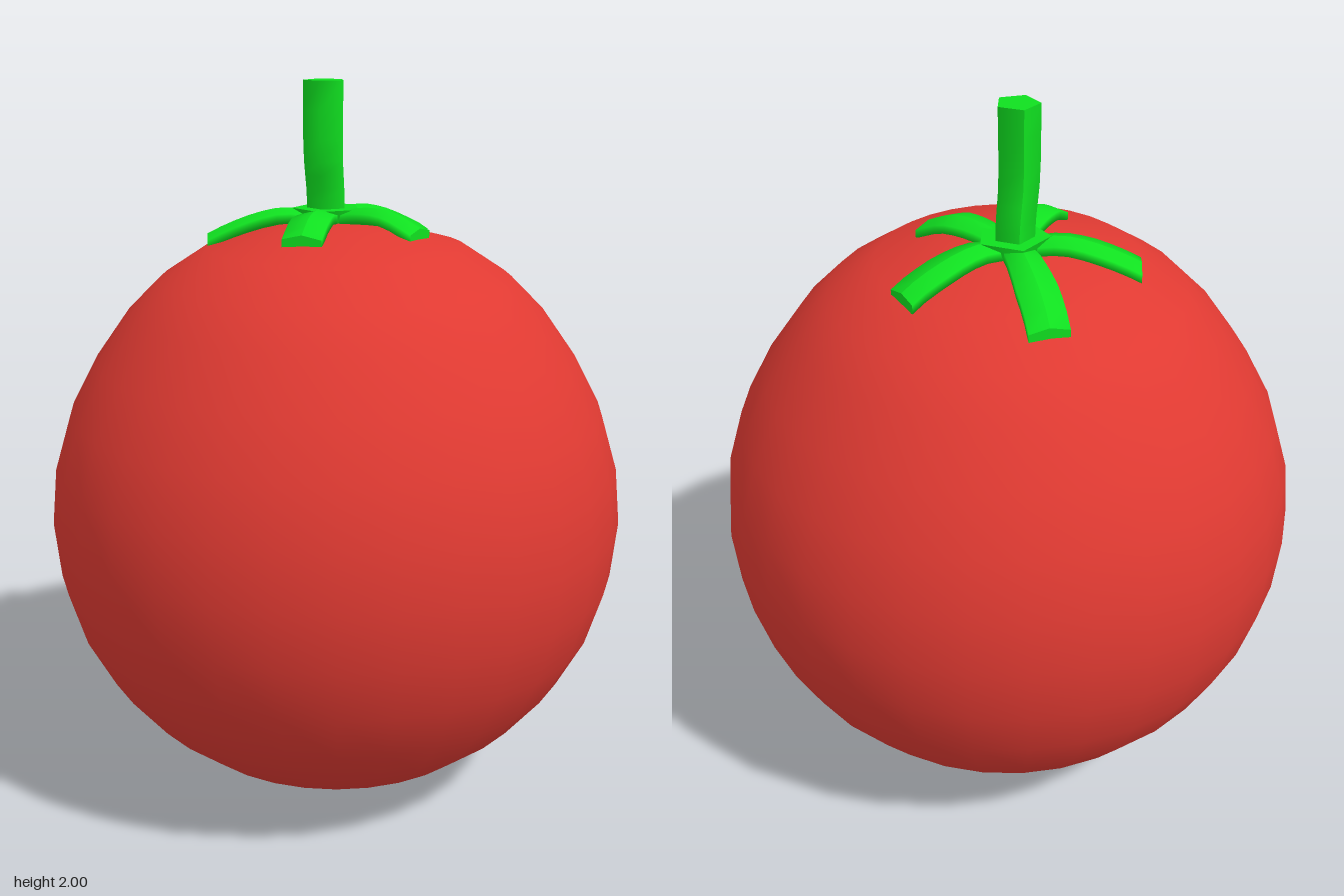
import * as THREE from 'three';

const red = new THREE.MeshStandardMaterial({ color: 0xe03a32 });
const green = new THREE.MeshStandardMaterial({ color: 0x10e020 });
const HUB = { x: 0.005, z: -0.07 };

// Upper half of the fruit's profile, from shoulder to crown (radius, height)
const CROWN = [[0.575, 1.385], [0.485, 1.475], [0.355, 1.56], [0.157, 1.612], [0, 1.62]];

// Height of the fruit's skin at a distance from its axis, near the crown
function skinHeight(r) {
  for (let i = CROWN.length - 1; i > 0; i--) {
    const [r0, y0] = CROWN[i], [r1, y1] = CROWN[i - 1];
    if (r <= r1) return THREE.MathUtils.mapLinear(r, r0, r1, y0, y1);
  }
  return CROWN[0][1];
}

// Moves every vertex of a geometry by a rule
function reshape(geometry, rule) {
  const pos = geometry.attributes.position;
  const v = new THREE.Vector3();
  for (let i = 0; i < pos.count; i++) {
    rule(v.fromBufferAttribute(pos, i));
    pos.setXYZ(i, v.x, v.y, v.z);
  }
  geometry.computeVertexNormals();
  return geometry;
}

function add(group, name, geometry, material) {
  const mesh = new THREE.Mesh(geometry, material);
  mesh.name = name;
  group.add(mesh);
  return mesh;
}

// A flattened six-sided strip that runs out from the hub over the skin
function sepalGeometry(angle, length) {
  const dx = Math.cos(angle), dz = Math.sin(angle);
  return reshape(new THREE.CylinderGeometry(1, 1, 1, 6, 8), (v) => {
    const t = v.y + 0.5;
    const along = 0.03 + t * (length - 0.03);
    const side = v.x * THREE.MathUtils.lerp(0.045, 0.062, Math.min(1, t * 1.6));
    const cx = HUB.x + dx * along, cz = HUB.z + dz * along;
    const lift = 0.005 + 0.02 * Math.sin(Math.PI * t);
    const y = skinHeight(Math.hypot(cx, cz)) + lift + v.z * 0.024;
    v.set(cx - dz * side, y, cz + dx * side);
  });
}

export function createModel() {
  const model = new THREE.Group();
  model.name = 'tomato';

  // Fruit: a ball with slightly raised shoulders
  const profile = [];
  for (let i = 0; i <= 11; i++) {
    const a = (i * Math.PI) / 16;
    profile.push(new THREE.Vector2(0.805 * Math.sin(a), 0.805 - 0.805 * Math.cos(a)));
  }
  for (const [r, y] of CROWN) profile.push(new THREE.Vector2(r, y));
  add(model, 'fruit', new THREE.LatheGeometry(profile, 32), red);

  // Calyx: a pentagonal hub with five sepals
  const calyx = new THREE.Group();
  calyx.name = 'calyx';
  model.add(calyx);
  const hub = add(calyx, 'calyxHub',
    new THREE.CylinderGeometry(0.1, 0.085, 0.05, 5, 1, false, Math.PI), green);
  hub.position.set(HUB.x, 1.63, HUB.z);
  for (let i = 0; i < 5; i++) {
    const angle = -Math.PI / 2 + (i * 2 * Math.PI) / 5;
    const length = i === 2 || i === 3 ? 0.29 : 0.335;
    add(calyx, 'sepal' + (i + 1), sepalGeometry(angle, length), green);
  }

  // Stem: five sides, leaning slightly and then straightening
  const bend = new THREE.CatmullRomCurve3([
    new THREE.Vector3(0.006, 1.62, -0.078),
    new THREE.Vector3(0.002, 1.7, -0.07),
    new THREE.Vector3(-0.011, 1.8, -0.053),
    new THREE.Vector3(-0.012, 2, -0.05),
  ]);
  const stem = reshape(
    new THREE.CylinderGeometry(0.059, 0.055, 1, 5, 8, false, Math.PI),
    (v) => {
      const p = bend.getPoint(v.y + 0.5);
      v.set(v.x + p.x, p.y, v.z + p.z);
    });
  add(model, 'stem', stem, green);

  return model;
}
